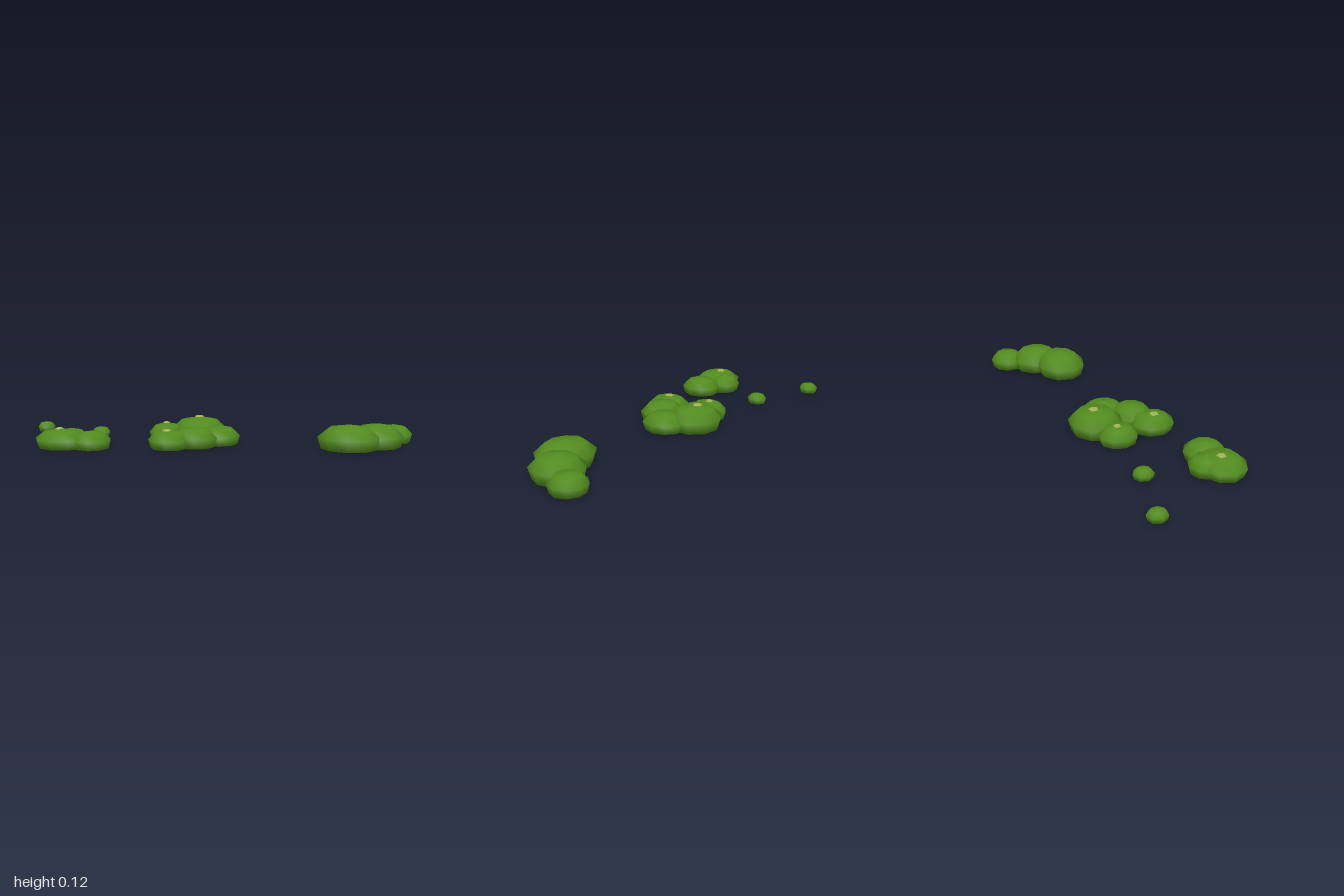
import * as THREE from 'three';

export function createModel() {
  const model = new THREE.Group();
  model.name = 'mossPatches';

  const moss = new THREE.MeshStandardMaterial({ color: 0x528b1e });
  moss.name = 'moss green';
  const tip = new THREE.MeshStandardMaterial({ color: 0x9fb350 });
  tip.name = 'pale olive';

  // Closed cushion: flat underside, bulging side, rounded crown
  const profile = [[0, 0], [0.88, 0], [1, 0.48], [0.645, 0.87], [0, 1]].map(([r, y]) => new THREE.Vector2(r, y));
  function addDome(parent, name, material, sides, [x, z, rx, rz, h, turn], base = 0) {
    const mesh = new THREE.Mesh(new THREE.LatheGeometry(profile, sides, turn), material);
    mesh.name = name;
    mesh.position.set(x, base, z);
    mesh.scale.set(rx, h, rz);
    parent.add(mesh);
  }

  // Domes: x, z, x radius, z radius, height, turn.  Buds: x, top y, z, radius
  const clumps = {
    leftClump: {
      sides: 9,
      domes: [
        [0.696, -0.006, 0.158, 0.133, 0.121, -0.02], [0.83, -0.1, 0.13, 0.134, 0.116, 0.12],
        [0.905, -0.245, 0.096, 0.091, 0.091, 0.22],
      ],
      buds: [],
    },
    middleClump: {
      sides: 9,
      domes: [
        [-0.08, -0.13, 0.144, 0.135, 0.119, -0.09], [-0.241, -0.082, 0.091, 0.102, 0.09, -0.08],
        [0.043, -0.033, 0.105, 0.115, 0.09, 0.17], [-0.063, 0.075, 0.115, 0.104, 0.1, 0.12],
        [-0.178, 0.13, 0.106, 0.113, 0.088, 0.02],
      ],
      buds: [[-0.083, 0.125, -0.142, 0.027], [-0.245, 0.095, -0.09, 0.021], [-0.19, 0.092, 0.135, 0.026]],
    },
    rightClump: {
      sides: 9,
      domes: [
        [-0.705, 0.218, 0.136, 0.115, 0.092, -0.18], [-0.554, 0.213, 0.1, 0.104, 0.086, 0.12],
        [-0.678, 0.15, 0.09, 0.084, 0.086, 0.32],
      ],
      buds: [[-0.72, 0.097, 0.205, 0.025]],
    },
    looseTufts: {
      sides: 7,
      domes: [[-0.953, -0.235, 0.047, 0.051, 0.051, 0.22], [-0.61, -0.13, 0.049, 0.053, 0.051, 0.42]],
      buds: [],
    },
  };

  for (const [name, { sides, domes, buds }] of Object.entries(clumps)) {
    const group = new THREE.Group();
    group.name = name;
    domes.forEach((dome, i) => addDome(group, 'mossDome' + (i + 1), moss, sides, dome));
    // Small pale buds sitting on the crowns
    buds.forEach(([x, top, z, r], i) => addDome(group, 'bud' + (i + 1), tip, 5, [x, z, r, r, 0.012, 0.3], top - 0.012));
    model.add(group);
  }
  return model;
}
